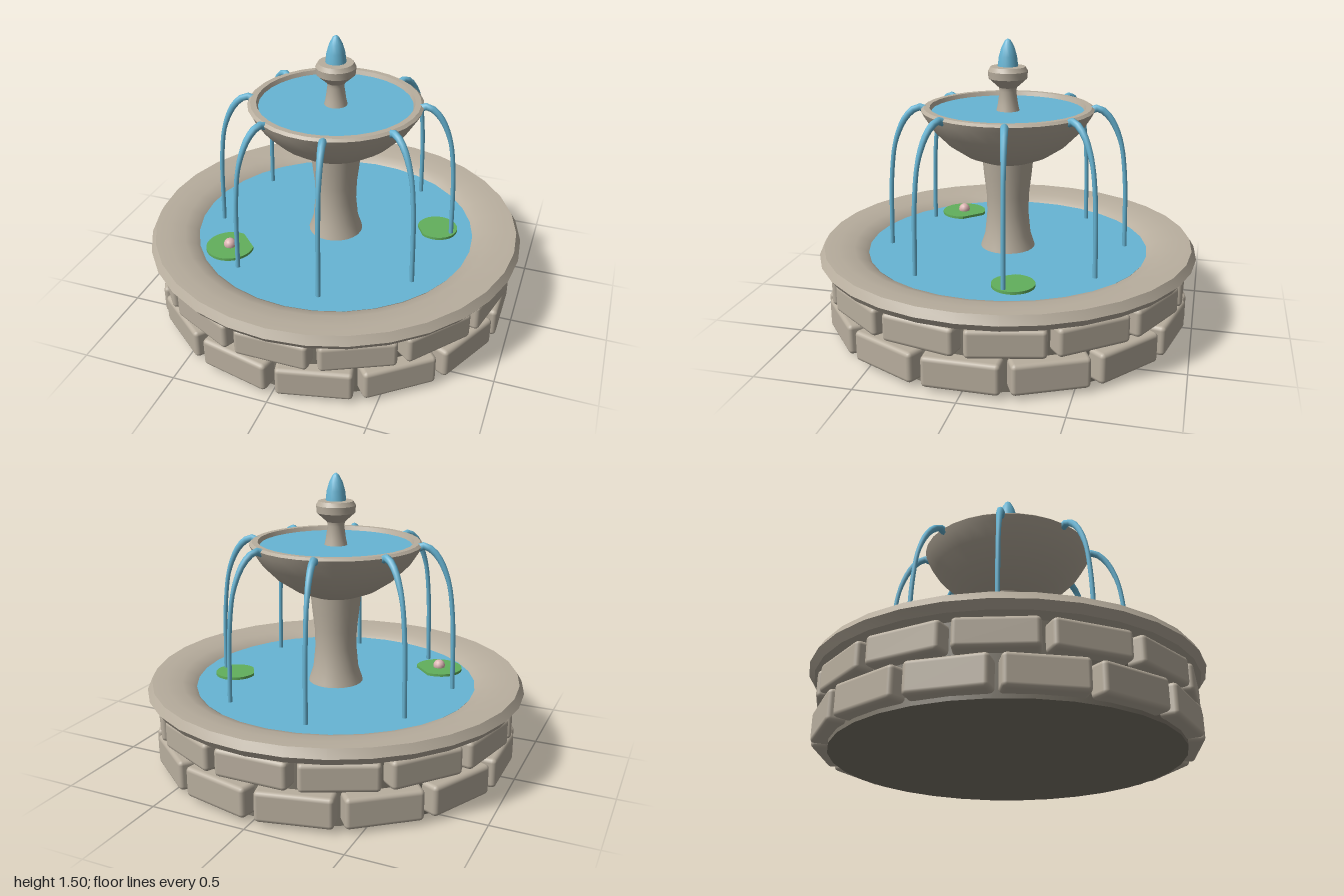
import * as THREE from 'three';
import { toCreasedNormals } from 'three/addons/utils/BufferGeometryUtils.js';
import { RoundedBoxGeometry } from 'three/addons/geometries/RoundedBoxGeometry.js';

const material = (name, color) => {
  const m = new THREE.MeshStandardMaterial({ color });
  m.name = name;
  return m;
};

export function createModel() {
  const fountain = new THREE.Group();
  fountain.name = 'fountain';
  const stone = material('stone', 0xb8ae9e);
  const mortar = material('mortar', 0x7d776b);
  const water = material('water', 0x67b5d4);
  const leaf = material('leaf green', 0x62b05c);
  const petal = material('petal pink', 0xdcb4b2);

  const add = (name, geometry, mat, parent = fountain) => {
    const mesh = new THREE.Mesh(geometry, mat);
    mesh.name = name;
    parent.add(mesh);
    return mesh;
  };

  // Turned part; profile runs from the bottom, up the outside
  const turned = (name, profile, mat, segments = 32) => {
    const points = profile.map(([r, y]) => new THREE.Vector2(r, y));
    return add(name, toCreasedNormals(new THREE.LatheGeometry(points, segments), 0.55), mat);
  };

  const disc = (name, radius, y) => {
    const mesh = add(name, new THREE.CircleGeometry(radius, 32), water);
    mesh.rotation.x = -Math.PI / 2;
    mesh.position.y = y;
  };

  // Basin wall and two staggered courses of rounded blocks
  add('basinWall', new THREE.CylinderGeometry(0.88, 0.88, 0.36, 32), mortar).position.y = 0.18;
  const blocks = 14;
  [
    { name: 'lowerCourse', y: 0.098, height: 0.156, shift: 0.5 },
    { name: 'upperCourse', y: 0.269, height: 0.142, shift: 0 },
  ].forEach(({ name, y, height, shift }) => {
    const course = new THREE.Group();
    course.name = name;
    fountain.add(course);
    const geometry = new RoundedBoxGeometry(0.376, height, 0.14, 2, 0.022);
    for (let i = 0; i < blocks; i++) {
      const a = ((i + shift) / blocks) * Math.PI * 2;
      const block = add('block', geometry, stone, course);
      block.position.set(Math.sin(a) * 0.875, y, Math.cos(a) * 0.875);
      block.rotation.y = a;
    }
  });

  // Basin rim with an inner slope down to the water
  turned('basinRim', [
    [0.86, 0.352], [0.972, 0.352], [1, 0.39], [0.975, 0.432], [0.9, 0.431],
    [0.82, 0.42], [0.765, 0.402], [0.735, 0.375],
  ], stone);
  disc('basinWater', 0.745, 0.388);

  // Pedestal, upper bowl and finial
  turned('pedestal', [
    [0.15, 0.37], [0.142, 0.4], [0.122, 0.46], [0.11, 0.58],
    [0.113, 0.68], [0.125, 0.78], [0.135, 0.88],
  ], stone, 24);
  turned('bowl', [
    [0, 0.865], [0.13, 0.865], [0.22, 0.9], [0.31, 0.96], [0.39, 1.04],
    [0.435, 1.11], [0.45, 1.14], [0.435, 1.152], [0.405, 1.152], [0.39, 1.115],
  ], stone);
  disc('bowlWater', 0.4, 1.13);
  turned('finial', [
    [0.062, 1.12], [0.053, 1.16], [0.043, 1.23], [0.047, 1.25], [0.1, 1.298],
    [0.103, 1.335], [0.09, 1.357], [0, 1.357],
  ], stone, 20);
  turned('waterBud', [
    [0, 1.355], [0.053, 1.36], [0.047, 1.41], [0.034, 1.455], [0.015, 1.49], [0, 1.5],
  ], water, 16);

  // Eight tapering jets falling from the bowl edge
  const path = new THREE.CatmullRomCurve3([
    [0.425, 1.13], [0.465, 1.143], [0.525, 1.1], [0.585, 0.98], [0.615, 0.8], [0.63, 0.37],
  ].map(([r, y]) => new THREE.Vector3(r, y, 0)));
  const steps = 24, sides = 8;
  const jet = new THREE.TubeGeometry(path, steps, 1, sides, false);
  const pos = jet.attributes.position, v = new THREE.Vector3();
  for (let i = 0; i < pos.count; i++) {
    const t = Math.floor(i / (sides + 1)) / steps;
    const centre = path.getPointAt(t);
    const radius = 0.012 + 0.009 * Math.max(0, 1 - t * 3);
    v.fromBufferAttribute(pos, i).sub(centre).multiplyScalar(radius).add(centre);
    pos.setXYZ(i, v.x, v.y, v.z);
  }
  for (let i = 0; i < 8; i++) {
    add('waterJet', jet, water).rotation.y = 0.2 - (i * Math.PI) / 4;
  }

  // Notched lily pads; notch angle is measured from +x towards +z
  const lilyPad = (x, z, radius, notch, width) => {
    const shape = new THREE.Shape();
    shape.moveTo(0, 0);
    shape.absarc(0, 0, radius, notch + width / 2, notch - width / 2 + Math.PI * 2, false);
    shape.closePath();
    const geometry = new THREE.ExtrudeGeometry(shape, { depth: 0.014, bevelEnabled: false, curveSegments: 24 });
    const pad = add('lilyPad', geometry, leaf);
    pad.rotation.x = Math.PI / 2;
    pad.position.set(x, 0.402, z);
  };
  lilyPad(-0.46, 0.38, 0.125, -Math.PI / 4, 1.15);
  lilyPad(0.535, -0.155, 0.107, 2.6, 0.85);
  add('lilyFlower', new THREE.SphereGeometry(0.033, 12, 8), petal).position.set(-0.46, 0.41, 0.38);

  return fountain;
}
